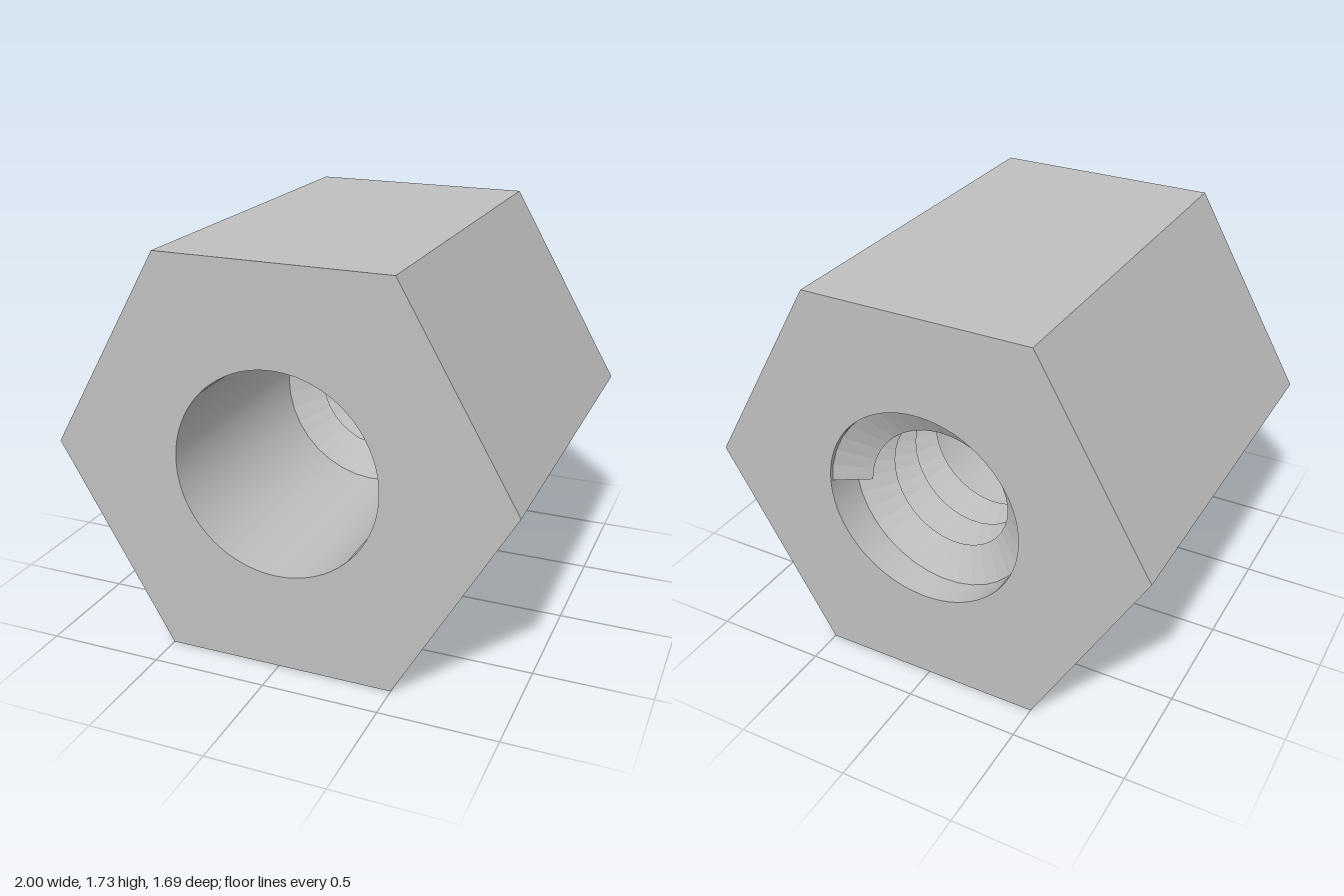
import * as THREE from 'three';

const LENGTH = 1.688, BORE = 0.442, CREST = 0.297, CENTRE_Y = Math.sqrt(3) / 2;
const PITCH = 0.168, TURNS = 3, STEPS = 36;

// Hexagonal prism with a round through-bore
function hexBody() {
  const shape = new THREE.Shape();
  for (let i = 0; i < 6; i++) {
    const a = (i * Math.PI) / 3;
    if (i === 0) shape.moveTo(Math.cos(a), Math.sin(a));
    else shape.lineTo(Math.cos(a), Math.sin(a));
  }
  shape.closePath();
  const hole = new THREE.Path();
  hole.absarc(0, 0, BORE, 0, Math.PI * 2, true);
  shape.holes.push(hole);
  const geo = new THREE.ExtrudeGeometry(shape, {
    depth: LENGTH, bevelEnabled: false, curveSegments: 96,
  });
  return geo.translate(0, 0, -LENGTH / 2);
}

// Sharp V ridge swept along a right-handed helix from the back end
function helicalThread() {
  const start = -LENGTH / 2 + 0.012;
  const positions = [], index = [];
  const count = TURNS * STEPS;
  for (let i = 0; i <= count; i++) {
    const a = (i / STEPS) * Math.PI * 2;
    const z = start + (i / STEPS) * PITCH;
    [BORE, CREST, BORE].forEach((r, k) => {
      positions.push(Math.cos(a) * r, Math.sin(a) * r, z + (k * PITCH) / 2);
    });
  }
  for (let i = 0; i < count; i++) {
    for (let k = 0; k < 2; k++) {
      const p = i * 3 + k, q = p + 3;
      index.push(p, p + 1, q, p + 1, q + 1, q);
    }
  }
  // End faces of the ridge
  const e = count * 3;
  index.push(0, 2, 1, e, e + 1, e + 2);

  const geo = new THREE.BufferGeometry();
  geo.setAttribute('position', new THREE.Float32BufferAttribute(positions, 3));
  geo.setIndex(index);
  const flat = geo.toNonIndexed();
  flat.computeVertexNormals();
  return flat;
}

export function createModel() {
  const steel = new THREE.MeshStandardMaterial({ color: 0xbfbfbf });
  steel.name = 'steelGrey';

  const group = new THREE.Group();
  group.name = 'hexSpacer';
  const parts = { hexBody: hexBody(), internalThread: helicalThread() };
  for (const [name, geometry] of Object.entries(parts)) {
    const mesh = new THREE.Mesh(geometry, steel);
    mesh.name = name;
    mesh.position.y = CENTRE_Y;
    group.add(mesh);
  }
  return group;
}
